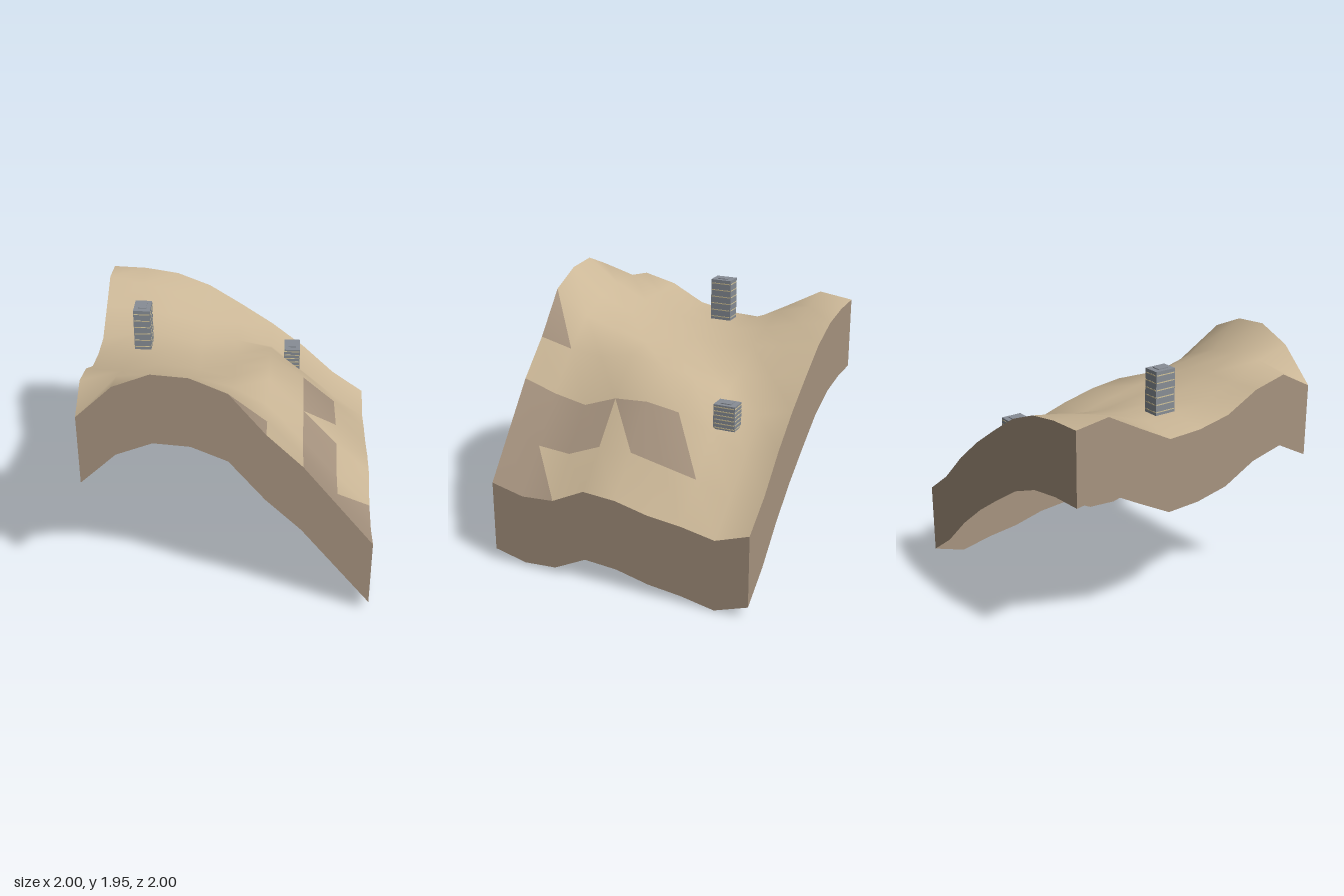
import * as THREE from 'three';

const N = 8, STEP = 0.25, SKIRT = 0.53;
// Hill heights: one row per z from back (-1) to front (+1), x from -1 to +1
const H = [
  [1.72, 1.71, 1.67, 1.57, 1.41, 1.24, 1.04, 0.80, 0.62],
  [1.755, 1.70, 1.63, 1.53, 1.37, 1.17, 0.95, 0.73, 0.535],
  [1.62, 1.63, 1.57, 1.50, 1.36, 1.30, 1.09, 0.83, 0.585],
  [1.49, 1.54, 1.53, 1.47, 1.38, 1.38, 1.195, 0.885, 0.615],
  [1.50, 1.54, 1.55, 1.51, 1.44, 1.44, 1.235, 0.94, 0.675],
  [1.55, 1.57, 1.58, 1.55, 1.49, 1.47, 1.22, 0.94, 0.695],
  [1.68, 1.67, 1.66, 1.63, 1.56, 1.42, 1.13, 0.84, 0.575],
  [1.74, 1.78, 1.77, 1.73, 1.64, 1.45, 1.18, 0.86, 0.56],
  [1.61, 1.85, 1.95, 1.93, 1.82, 1.51, 1.26, 0.94, 0.62],
];
// Rocky triangles by "column,row": 1 = back half, 2 = front half, 3 = both
const ROCK = { '6,2': 2, '6,3': 3, '6,4': 1, '6,5': 3, '6,6': 3, '6,7': 3, '7,6': 2, '7,7': 3, '4,7': 2 };

const point = (i, j) => [-1 + i * STEP, H[j][i], -1 + j * STEP];

function indexed(positions, index) {
  const g = new THREE.BufferGeometry();
  g.setAttribute('position', new THREE.Float32BufferAttribute(positions, 3));
  g.setIndex(index);
  g.computeVertexNormals();
  return g;
}

function terrainGeometry() {
  const positions = [], soil = [], rock = [];
  for (let j = 0; j <= N; j++) for (let i = 0; i <= N; i++) positions.push(...point(i, j));
  for (let j = 0; j < N; j++) for (let i = 0; i < N; i++) {
    const a = j * (N + 1) + i, b = a + N + 1, c = b + 1, d = a + 1;
    const mask = ROCK[`${i},${j}`] || 0;
    (mask & 1 ? rock : soil).push(a, b, d);
    (mask & 2 ? rock : soil).push(b, c, d);
  }
  const g = indexed(positions, [...soil, ...rock]);
  g.addGroup(0, soil.length, 0);
  g.addGroup(soil.length, rock.length, 1);
  return g;
}

// Vertical wall hanging from one edge; at(k) walks the edge counterclockwise from above
function wallGeometry(at) {
  const positions = [], index = [];
  for (let k = 0; k <= N; k++) {
    const [x, y, z] = at(k);
    positions.push(x, y, z, x, y - SKIRT, z);
    if (k < N) {
      const a = k * 2;
      index.push(a, a + 1, a + 2, a + 1, a + 3, a + 2);
    }
  }
  return indexed(positions, index);
}

export function createModel() {
  const mat = (name, color, side = THREE.FrontSide) => {
    const m = new THREE.MeshStandardMaterial({ color, side });
    m.name = name;
    return m;
  };
  const soil = mat('sandySoil', 0xcbb797, THREE.DoubleSide);
  const rock = mat('brownRock', 0xa6937f, THREE.DoubleSide);
  const concrete = mat('greyConcrete', 0x878d95);
  const glow = mat('paleYellowWindows', 0xd2c49a);

  const model = new THREE.Group();
  model.name = 'hillsideWithTowers';
  const add = (parent, name, geometry, material, x = 0, y = 0, z = 0) => {
    const m = new THREE.Mesh(geometry, material);
    m.name = name;
    m.position.set(x, y, z);
    parent.add(m);
  };

  // Ground and its cut sides, open underneath
  add(model, 'hillSurface', terrainGeometry(), [soil, rock]);
  add(model, 'frontCut', wallGeometry((k) => point(k, N)), rock);
  add(model, 'leftCut', wallGeometry((k) => point(N, N - k)), rock);
  add(model, 'backCut', wallGeometry((k) => point(N - k, 0)), rock);
  add(model, 'rightCut', wallGeometry((k) => point(0, k)), rock);

  // Towers with thin window bands and a low roof slab
  const W = 0.12, D = 0.16, FLOORS = 6;
  const tower = (name, x, base, z, height) => {
    const g = new THREE.Group();
    g.name = name;
    g.position.set(x, base, z);
    model.add(g);
    add(g, 'towerBlock', new THREE.BoxGeometry(W, height, D), concrete, 0, height / 2);
    add(g, 'roofSlab', new THREE.BoxGeometry(W * 0.5, 0.006, D * 0.5), concrete, 0, height + 0.003);
    for (let f = 0; f < FLOORS; f++) {
      const y = height * (f + 0.45) / FLOORS;
      add(g, 'windowBand', new THREE.BoxGeometry(W + 0.003, 0.007, D * 0.94), glow, 0, y);
      add(g, 'windowBand', new THREE.BoxGeometry(W * 0.94, 0.007, D + 0.003), glow, 0, y);
    }
  };
  tower('tallTower', -0.67, 1.55, -0.082, 0.312);
  tower('shortTower', 0.41, 1.105, -0.58, 0.182);

  return model;
}
